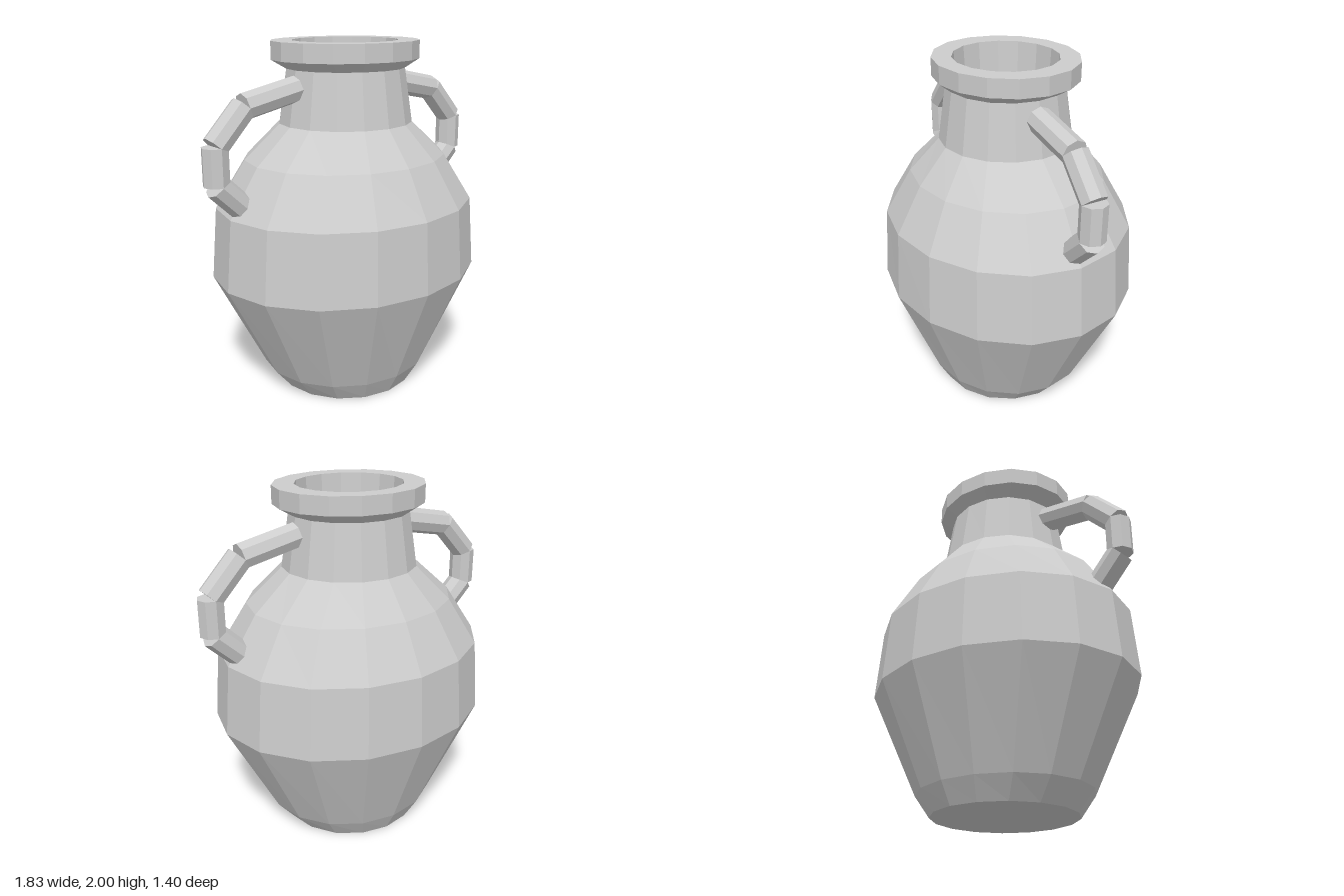
import * as THREE from 'three';

const stone = new THREE.MeshStandardMaterial({ color: 0xcccccc, flatShading: true });
stone.name = 'pale grey clay';

// Faceted 16-sided shell; each ring is [y, half width in x, half depth in z]
function ovalLathe(name, rings) {
  const points = rings.map(([y, rx]) => new THREE.Vector2(rx, y));
  const geometry = new THREE.LatheGeometry(points, 16);
  const pos = geometry.attributes.position;
  for (let i = 0; i < pos.count; i++) {
    const [, rx, rz] = rings[i % rings.length];
    if (rx > 0) pos.setZ(i, pos.getZ(i) * rz / rx);
  }
  const mesh = new THREE.Mesh(geometry, stone);
  mesh.name = name;
  return mesh;
}

// Octagonal bar between two points in the xy plane
function bar(name, [ax, ay], [bx, by], radius) {
  const a = new THREE.Vector3(ax, ay, 0);
  const b = new THREE.Vector3(bx, by, 0);
  const dir = b.clone().sub(a);
  const mesh = new THREE.Mesh(new THREE.CylinderGeometry(radius, radius, dir.length(), 8), stone);
  mesh.position.copy(a).add(b).multiplyScalar(0.5);
  mesh.quaternion.setFromUnitVectors(new THREE.Vector3(0, 1, 0), dir.normalize());
  mesh.name = name;
  return mesh;
}

export function createModel() {
  const jar = new THREE.Group();
  jar.name = 'twoHandledJar';

  // Closed foot, belly and shoulder
  jar.add(ovalLathe('body', [
    [0, 0, 0], [0, 0.41, 0.405], [0.12, 0.51, 0.47], [0.7, 0.81, 0.7],
    [1.1, 0.775, 0.675], [1.36, 0.6, 0.53], [1.55, 0.385, 0.37],
  ]));

  // Neck
  jar.add(ovalLathe('neck', [[1.55, 0.385, 0.37], [1.85, 0.34, 0.325]]));

  // Flared rim, then down the inside to the inner floor
  jar.add(ovalLathe('rimAndInside', [
    [1.85, 0.34, 0.325], [1.9, 0.43, 0.39], [2, 0.43, 0.39],
    [2, 0.305, 0.285], [1.5, 0.272, 0.255], [1.5, 0, 0],
  ]));

  // Handles of four straight bars each, left and right
  const path = [[0.34, 1.755], [0.67, 1.688], [0.845, 1.502], [0.845, 1.3], [0.7, 1.16]];
  for (const side of [1, -1]) {
    const handle = new THREE.Group();
    handle.name = side > 0 ? 'leftHandle' : 'rightHandle';
    const pts = path.map(([x, y]) => [x * side, y]);
    for (let i = 0; i < pts.length - 1; i++) {
      handle.add(bar('handleBar' + (i + 1), pts[i], pts[i + 1], 0.072));
    }
    jar.add(handle);
  }
  return jar;
}
